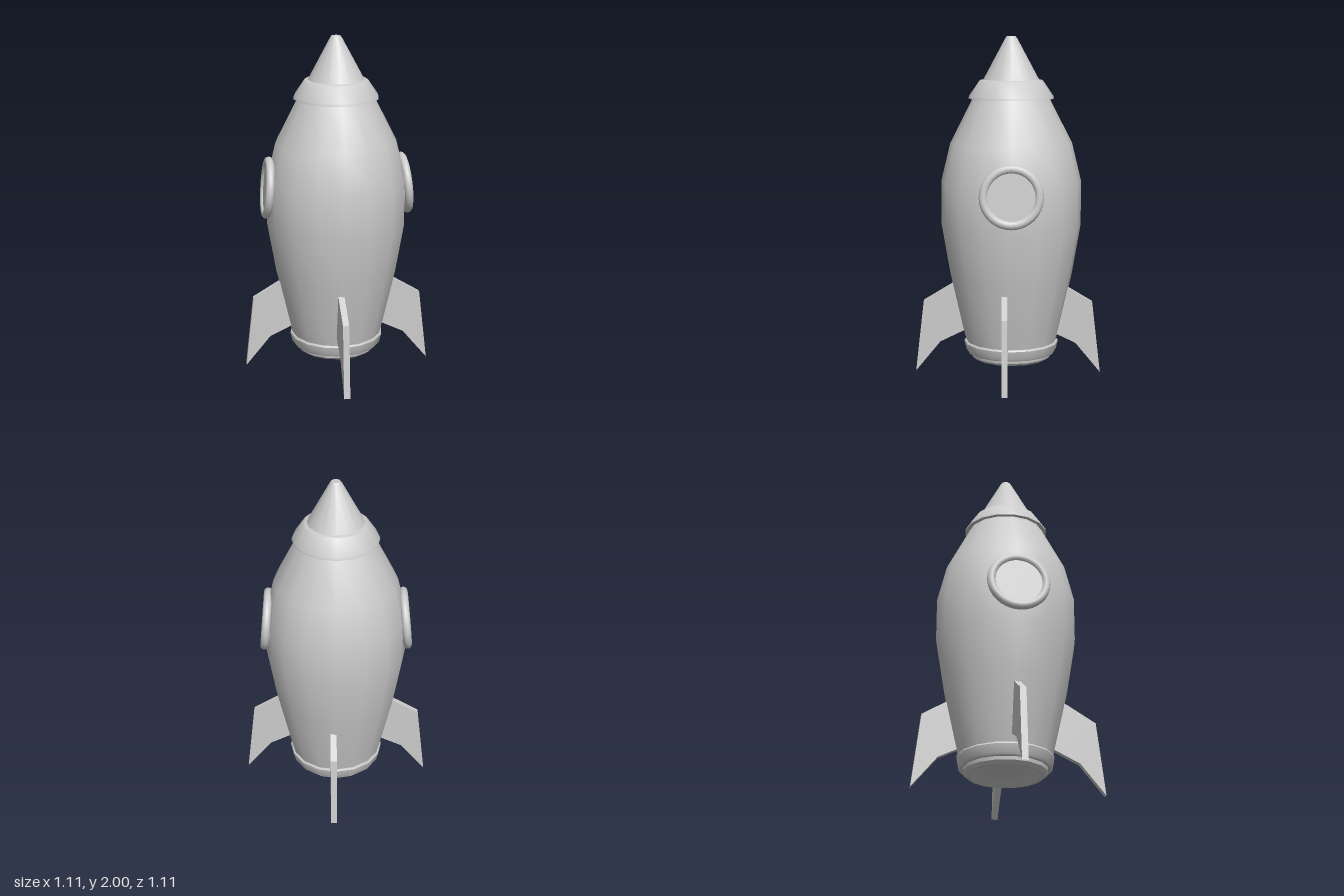
import * as THREE from 'three';
import { toCreasedNormals } from 'three/addons/utils/BufferGeometryUtils.js';

const AXIS_Z = -0.02; // hull axis sits slightly behind the fin axis
const SIDES = 16;

export function createModel() {
  const model = new THREE.Group();
  model.name = 'rocket';
  const material = new THREE.MeshStandardMaterial({ color: 0xcccccc });

  const add = (parent, name, geometry) => {
    const mesh = new THREE.Mesh(geometry, material);
    mesh.name = name;
    parent.add(mesh);
    return mesh;
  };

  // Turned parts, each a [radius, y] profile running from bottom to top
  const turned = (name, profile) => {
    const points = profile.map(([r, y]) => new THREE.Vector2(r, y));
    const geometry = toCreasedNormals(new THREE.LatheGeometry(points, SIDES), 0.6);
    add(model, name, geometry).position.z = AXIS_Z;
  };

  turned('hull', [
    [0.262, 0.17], [0.29, 0.28], [0.362, 0.6], [0.412, 0.895],
    [0.412, 1.155], [0.358, 1.378], [0.225, 1.64], [0.19, 1.7],
  ]);
  turned('noseCollar', [
    [0.2, 1.64], [0.25, 1.64], [0.246, 1.655], [0.187, 1.742], [0.178, 1.748], [0.15, 1.75],
  ]);
  turned('noseCone', [[0.168, 1.74], [0.034, 1.99], [0.026, 2], [0, 2]]);
  turned('baseBand', [
    [0.23, 0.127], [0.262, 0.127], [0.27, 0.14], [0.281, 0.188], [0.276, 0.197], [0.24, 0.197],
  ]);
  turned('nozzle', [
    [0, 0.125], [0.135, 0.125], [0.16, 0.112], [0.192, 0.09], [0.222, 0.09],
    [0.242, 0.107], [0.246, 0.14],
  ]);

  // Portholes on both sides, leaning in with the hull
  for (const side of [1, -1]) {
    const porthole = new THREE.Group();
    porthole.name = side > 0 ? 'leftPorthole' : 'rightPorthole';
    add(porthole, 'portholeRing', new THREE.TorusGeometry(0.158, 0.025, 12, 32));
    const glass = new THREE.CylinderGeometry(0.15, 0.15, 0.04, 32).rotateX(Math.PI / 2);
    add(porthole, 'portholeGlass', glass).position.z = -0.01;
    porthole.position.set(side * 0.407, 1.113, AXIS_Z);
    porthole.rotation.set(-0.09, side * Math.PI / 2, 0, 'YXZ');
    model.add(porthole);
  }

  // Four swept fins, each set to one side of its radius
  const outline = [[0.25, 0.255], [0.405, 0.18], [0.553, 0], [0.503, 0.43], [0.25, 0.583]];
  const finShape = new THREE.Shape(outline.map(([x, y]) => new THREE.Vector2(x, y)));
  const finGeometry = new THREE.ExtrudeGeometry(finShape, { depth: 0.036, bevelEnabled: false });
  ['leftFin', 'backFin', 'rightFin', 'frontFin'].forEach((name, i) => {
    add(model, name, finGeometry).rotation.y = i * Math.PI / 2;
  });

  return model;
}
